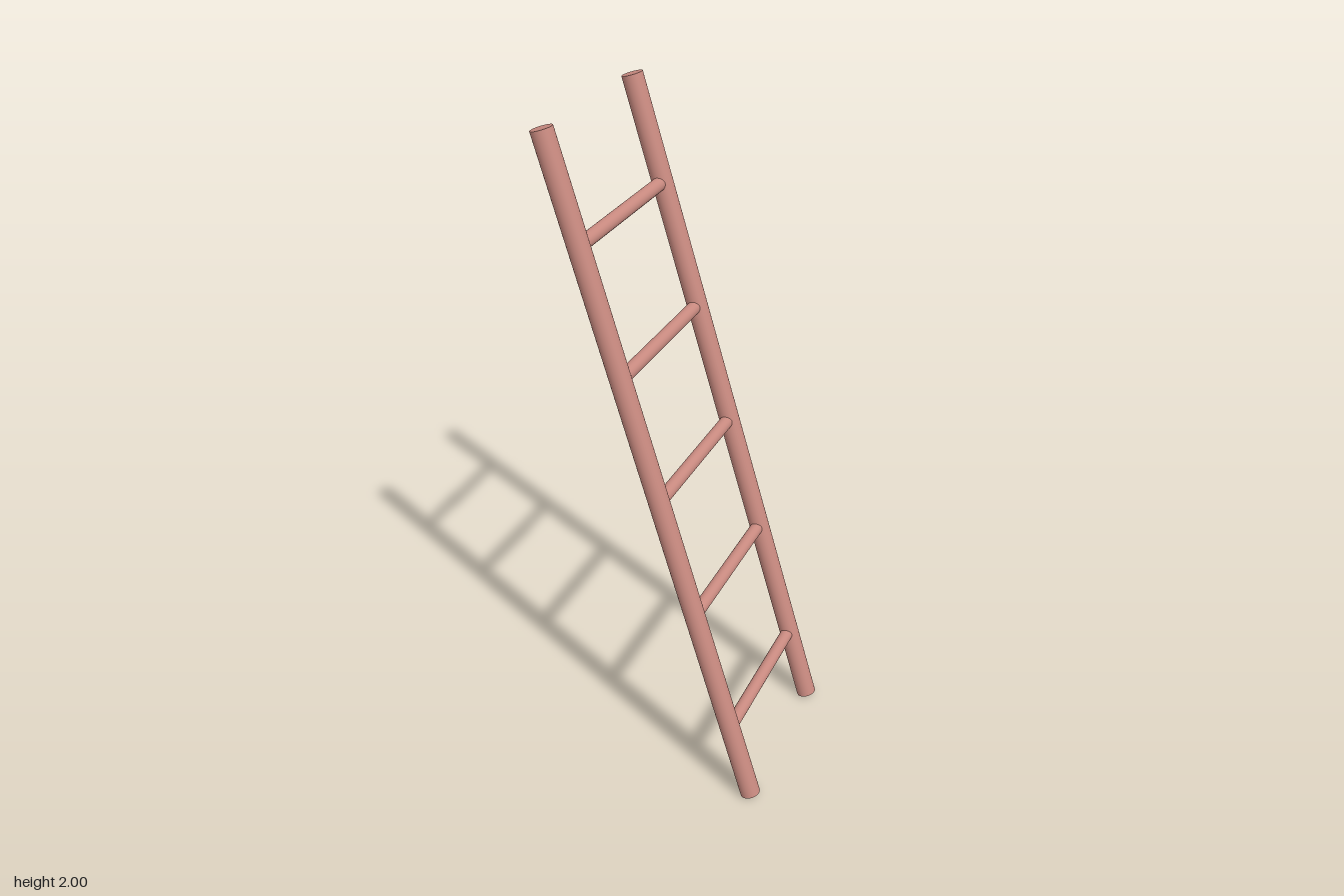
import * as THREE from 'three';

export function createModel() {
  const ladder = new THREE.Group();
  ladder.name = 'ladder';
  const material = new THREE.MeshStandardMaterial({ color: 0xc98a80 });

  const railZ = 0.246, railRadius = 0.03, rungRadius = 0.0195;
  const topX = -0.294, topY = 1.9915, bottomX = 0.294, bottomY = 0.0085;

  // Round bar between two points
  function bar(name, from, to, radius) {
    const axis = to.clone().sub(from);
    const mesh = new THREE.Mesh(
      new THREE.CylinderGeometry(radius, radius, axis.length(), 32), material);
    mesh.name = name;
    mesh.position.copy(from).add(to).multiplyScalar(0.5);
    mesh.quaternion.setFromUnitVectors(new THREE.Vector3(0, 1, 0), axis.normalize());
    ladder.add(mesh);
  }

  // Two leaning side rails
  for (const side of [1, -1]) {
    bar(side > 0 ? 'frontRail' : 'backRail',
      new THREE.Vector3(bottomX, bottomY, side * railZ),
      new THREE.Vector3(topX, topY, side * railZ), railRadius);
  }

  // Five rungs, set into the rails along their slope
  [0.245, 0.63, 0.988, 1.344, 1.70].forEach((y, i) => {
    const x = THREE.MathUtils.mapLinear(y, bottomY, topY, bottomX, topX);
    bar(`rung${i + 1}`, new THREE.Vector3(x, y, -railZ),
      new THREE.Vector3(x, y, railZ), rungRadius);
  });

  return ladder;
}
